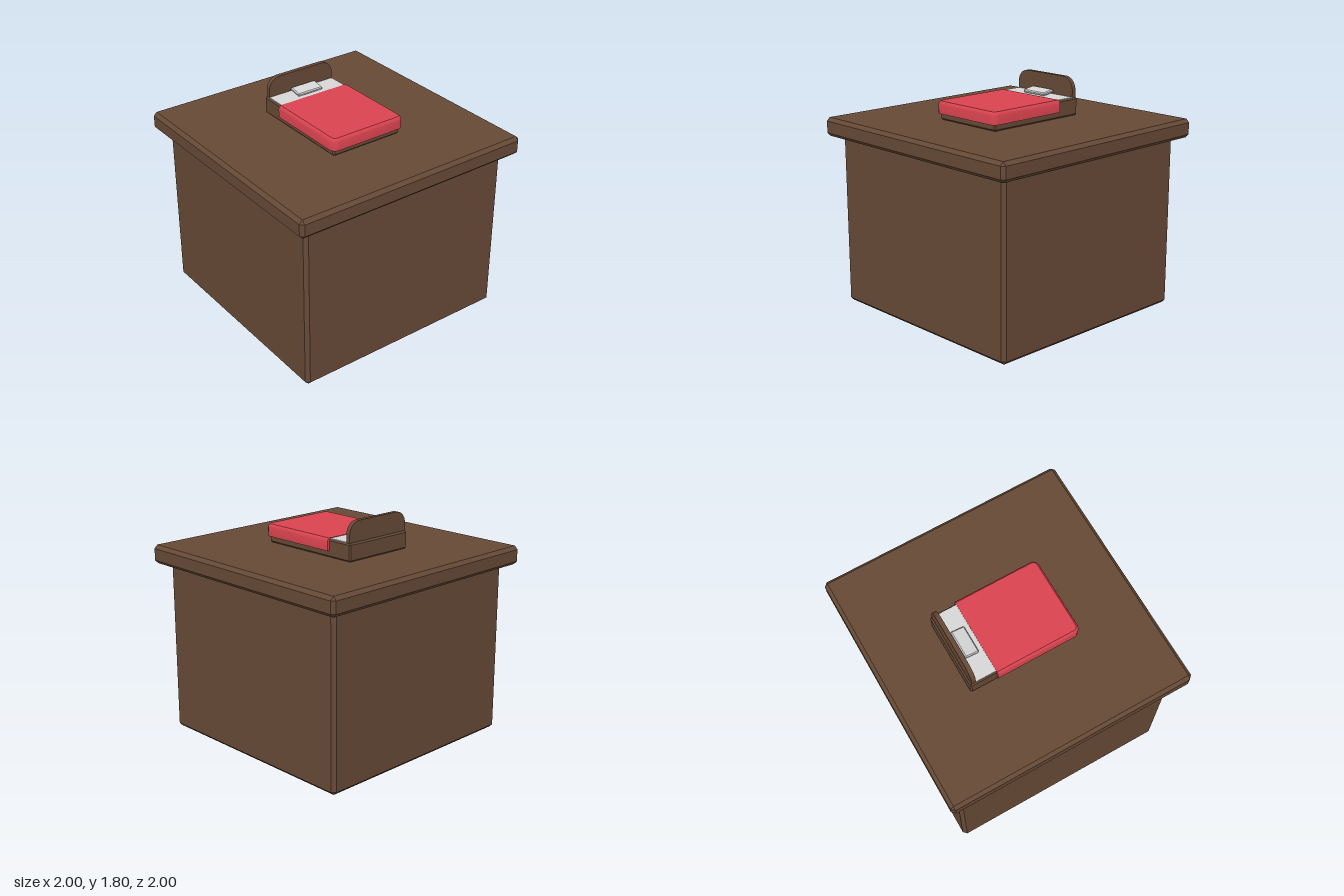
import * as THREE from 'three';
import { toCreasedNormals } from 'three/addons/utils/BufferGeometryUtils.js';
import { ConvexGeometry } from 'three/addons/geometries/ConvexGeometry.js';

const wood = new THREE.MeshStandardMaterial({ name: 'brown wood', color: 0x664936 });
const red = new THREE.MeshStandardMaterial({ name: 'red cloth', color: 0xd9434f });
const white = new THREE.MeshStandardMaterial({ name: 'white linen', color: 0xd6d6d6 });

// Box with flat chamfers of size c on every edge
function chamferBox(w, h, d, c) {
  const pts = [];
  for (const x of [-1, 1]) for (const y of [-1, 1]) for (const z of [-1, 1]) {
    for (let axis = 0; axis < 3; axis++) {
      const inset = [c, c, c];
      inset[axis] = 0;
      pts.push(new THREE.Vector3(x * (w / 2 - inset[0]), y * (h / 2 - inset[1]), z * (d / 2 - inset[2])));
    }
  }
  return new ConvexGeometry(pts);
}

// Blanket: square at the head, rounded corners at the foot, soft upper edge
function blanketGeometry() {
  const pts = [];
  const head = -0.245, foot = 0.445, half = 0.325, r = 0.05;
  const levels = [[0, 1.56], [0, 1.63], [0.005, 1.645], [0.018, 1.656]]; // inset, height
  for (const [inset, y] of levels) {
    for (const s of [-1, 1]) {
      pts.push(new THREE.Vector3(s * (half - inset), y, head));
      for (let i = 0; i <= 4; i++) {
        const a = (i / 4) * Math.PI / 2;
        pts.push(new THREE.Vector3(
          s * (half - r + (r - inset) * Math.cos(a)), y,
          foot - r + (r - inset) * Math.sin(a)));
      }
    }
  }
  return toCreasedNormals(new ConvexGeometry(pts), 0.7);
}

// Headboard: upright panel with rounded top corners
function headboardGeometry() {
  const w = 0.295, low = 1.6, top = 1.805, r = 0.1;
  const s = new THREE.Shape();
  s.moveTo(-w, low);
  s.lineTo(w, low);
  s.lineTo(w, top - r);
  s.absarc(w - r, top - r, r, 0, Math.PI / 2, false);
  s.absarc(-w + r, top - r, r, Math.PI / 2, Math.PI, false);
  s.closePath();
  const g = new THREE.ExtrudeGeometry(s, { depth: 0.035, bevelEnabled: false, curveSegments: 8 });
  return toCreasedNormals(g, 0.6);
}

export function createModel() {
  const model = new THREE.Group();
  model.name = 'bedOnPlinth';
  const add = (parent, name, geometry, material, x = 0, y = 0, z = 0) => {
    const mesh = new THREE.Mesh(geometry, material);
    mesh.name = name;
    mesh.position.set(x, y, z);
    parent.add(mesh);
    return mesh;
  };

  // Plinth
  add(model, 'plinthBody', chamferBox(1.81, 1.38, 1.81, 0.027), wood, 0, 0.69, 0);
  add(model, 'plinthTop', chamferBox(2, 0.147, 2, 0.027), wood, 0, 1.4315, 0);

  // Bed
  const bed = new THREE.Group();
  bed.name = 'bed';
  model.add(bed);
  add(bed, 'bedFrame', chamferBox(0.61, 0.14, 0.88, 0.012), wood, 0, 1.578, -0.02);
  add(bed, 'headboard', headboardGeometry(), wood, 0, 0, -0.446);
  add(bed, 'mattress', new THREE.BoxGeometry(0.59, 0.1, 0.76), white, 0, 1.602, -0.033);
  add(bed, 'blanket', blanketGeometry(), red);
  const pillow = add(bed, 'pillow', chamferBox(0.226, 0.026, 0.112, 0.008), white, 0, 1.672, -0.337);
  pillow.rotation.x = 0.16;
  return model;
}
